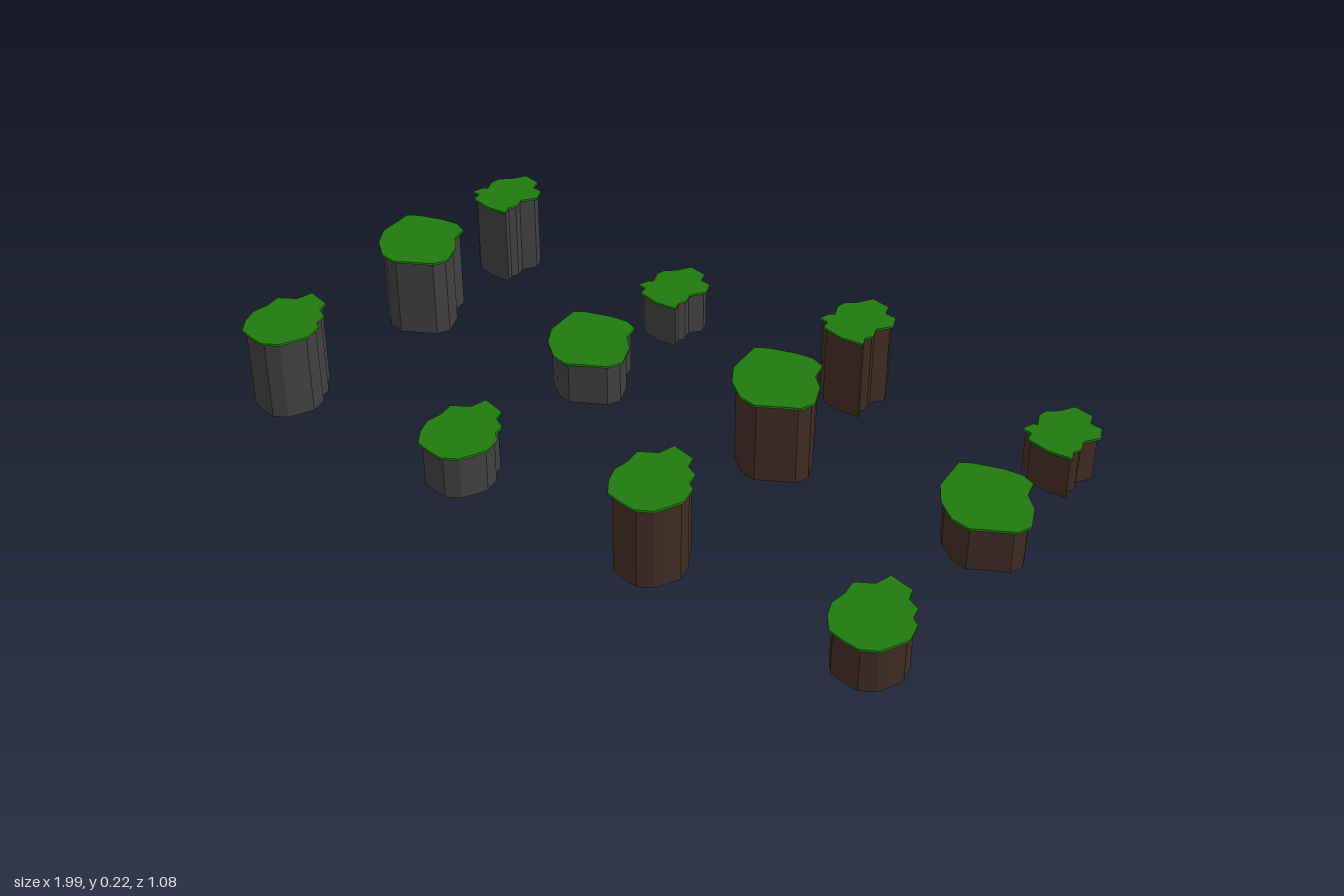
import * as THREE from 'three';

const grass = new THREE.MeshStandardMaterial({ name: 'grassGreen', color: 0x217a0f });
const stone = new THREE.MeshStandardMaterial({ name: 'stoneGrey', color: 0x404040 });
const earth = new THREE.MeshStandardMaterial({ name: 'earthBrown', color: 0x3f2d22 });

// Ragged platform outlines: x, z pairs in hundredths around each platform's centre
const outlines = [
  { name: 'narrow', z: -0.443, points: [
    -1.6, -10.4, 3.7, -9.3, 4.8, -6.1, 8, -5.6, 9.6, -1.9, 6.9, 1.9, 8, 5.1, 6.9, 7.2, 8, 9.9,
    2.1, 10.4, -4.3, 8.8, -4.8, 6.1, -7.5, 5.6, -6.4, 2.4, -5.3, 1.9, -6.9, -1.9, -6.4, -4.5, -3.7, -6.7] },
  { name: 'wide', z: -0.088, points: [
    -12.8, -8.5, -10, -10.2, -3.2, -12.3, 1.6, -12.8, 5.3, -11.2, 6.4, -6.4, 10.1, -2.7, 12.8, 3.7,
    11.2, 7.5, 5.3, 10.7, 1.6, 12.8, -3.2, 11.8, -8.5, 7.5, -11.8, 2.1, -12.3, -2.7] },
  { name: 'oval', z: 0.414, points: [
    -3.7, -12.8, 2.7, -11.2, 3.7, -8, 6.9, -6.4, 7.5, -3.2, 9.6, -1.6, 10.7, 3.2, 9.1, 6.9, 7.5, 10.1,
    3.7, 12.3, -0.5, 11.8, -4.8, 10.7, -7.5, 6.9, -9.1, 2.7, -8.5, -1.6, -9.1, -5.9, -4.8, -8.5] },
];

// Each column repeats the outlines with its own height and rock
const columns = [
  { name: 'TallStone', x: -0.873, height: 0.218, material: stone },
  { name: 'LowStone', x: -0.291, height: 0.117, material: stone },
  { name: 'TallEarth', x: 0.282, height: 0.218, material: earth },
  { name: 'LowEarth', x: 0.865, height: 0.117, material: earth },
];

// Upright prism standing on y = 0
function prism(points, scale, height) {
  const corners = [];
  for (let i = 0; i < points.length; i += 2) {
    corners.push(new THREE.Vector2(points[i], -points[i + 1]).multiplyScalar(scale / 100));
  }
  const geometry = new THREE.ExtrudeGeometry(new THREE.Shape(corners), { depth: height, bevelEnabled: false });
  return geometry.rotateX(-Math.PI / 2);
}

export function createModel() {
  const model = new THREE.Group();
  model.name = 'platformSet';
  for (const column of columns) {
    for (const outline of outlines) {
      const platform = new THREE.Group();
      platform.name = outline.name + column.name + 'Platform';
      platform.position.set(column.x, 0, outline.z);

      // Rock body, slightly inset under the turf
      const body = new THREE.Mesh(prism(outline.points, 0.91, column.height), column.material);
      body.name = 'rockBody';

      // Thin overhanging turf
      const turf = new THREE.Mesh(prism(outline.points, 1, 0.006), grass);
      turf.name = 'grassCap';
      turf.position.y = column.height;

      platform.add(body, turf);
      model.add(platform);
    }
  }
  return model;
}
